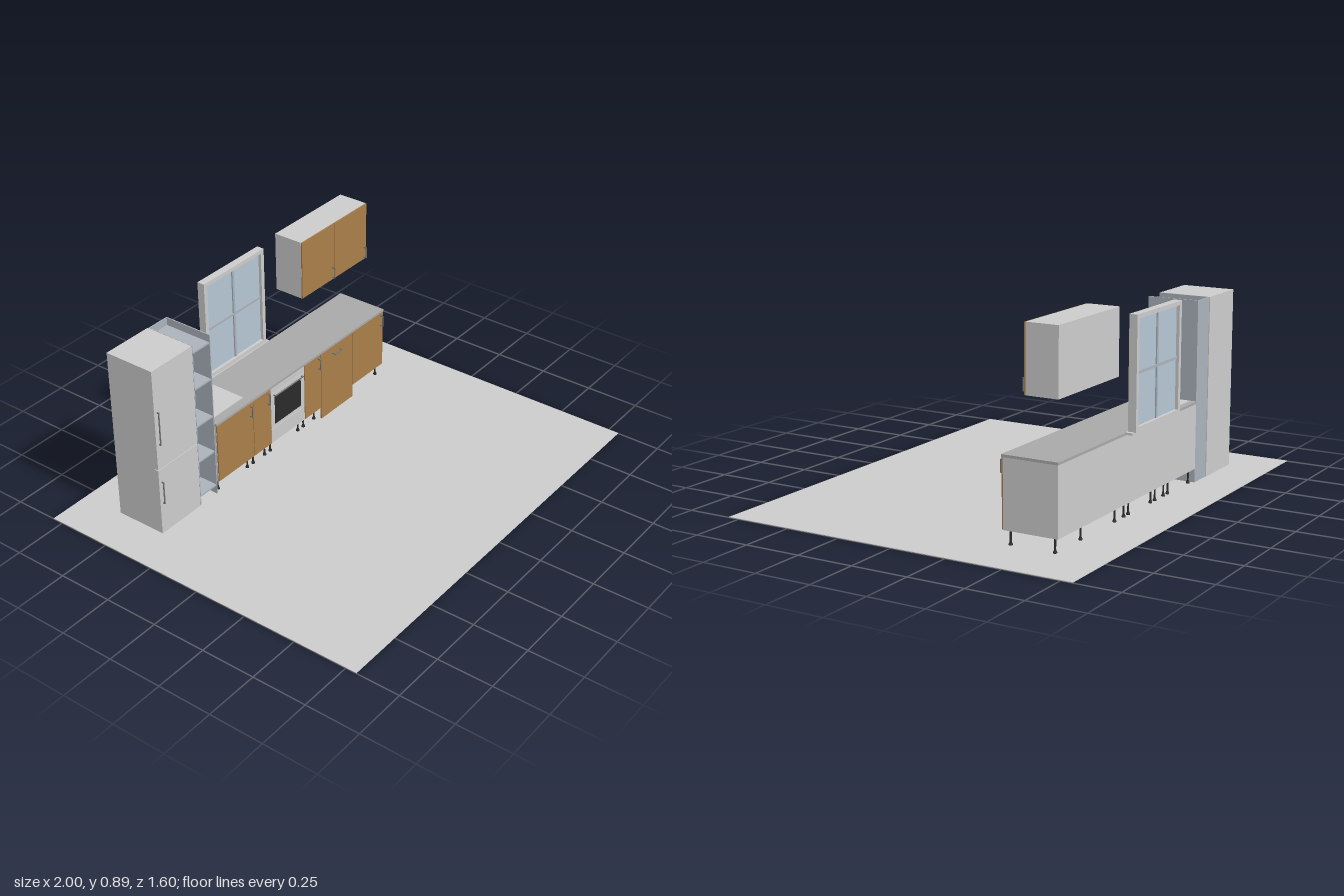
import * as THREE from 'three';

const mat = (color) => new THREE.MeshStandardMaterial({ color });
const grey = mat(0xcccccc), wood = mat(0xa87e4a), slate = mat(0xaab2ba), stone = mat(0xa8a8a8);
const metal = mat(0x777777), black = mat(0x2a2a2a), glass = mat(0xb4c6d2);

export function createModel() {
  const root = new THREE.Group();

  // Box given by its min and max on each axis
  const box = (name, x0, x1, y0, y1, z0, z1, material = grey, parent = root) => {
    const m = new THREE.Mesh(new THREE.BoxGeometry(x1 - x0, y1 - y0, z1 - z0), material);
    m.position.set((x0 + x1) / 2, (y0 + y1) / 2, (z0 + z1) / 2);
    m.name = name;
    parent.add(m);
    return m;
  };
  const group = (name) => {
    const g = new THREE.Group();
    g.name = name;
    root.add(g);
    return g;
  };
  // Bar handle with two stand-offs; z is the door face
  const handle = (x, y, length, z, horizontal = false, parent = root, reach = 0.016) => {
    const g = new THREE.Group();
    g.name = 'handle';
    const h = length / 2, r = 0.0025;
    box('handleBar', -r, r, -h, h, reach - 0.004, reach, metal, g);
    for (const s of [-1, 1]) {
      const c = s * (h - r);
      box('handlePost', -r, r, c - r, c + r, 0, reach - 0.004, metal, g);
    }
    if (horizontal) g.rotation.z = Math.PI / 2;
    g.position.set(x, y, z);
    parent.add(g);
  };

  box('floor', -1, 1, 0, 0.003, -0.8, 0.8);

  // Fridge with freezer below
  const fridge = group('fridge');
  box('fridgeBody', -0.8, -0.557, 0.003, 0.805, -0.6, -0.38, grey, fridge);
  box('freezerDoor', -0.8, -0.557, 0.003, 0.324, -0.38, -0.36, grey, fridge);
  box('fridgeDoor', -0.8, -0.557, 0.327, 0.805, -0.38, -0.36, grey, fridge);
  handle(-0.782, 0.525, 0.16, -0.36, false, fridge, 0.01);
  handle(-0.782, 0.205, 0.11, -0.36, false, fridge, 0.01);

  // Narrow open shelf unit
  const shelves = group('shelfUnit');
  box('shelfLeftPanel', -0.556, -0.552, 0.003, 0.805, -0.597, -0.36, slate, shelves);
  box('shelfRightPanel', -0.449, -0.444, 0.003, 0.805, -0.597, -0.36, slate, shelves);
  box('shelfBack', -0.552, -0.449, 0.003, 0.805, -0.597, -0.592, slate, shelves);
  for (const y of [0.047, 0.223, 0.403, 0.588, 0.766])
    box('shelf', -0.552, -0.449, y - 0.004, y + 0.004, -0.592, -0.363, slate, shelves);

  // Base cabinets: [left edge, right edge, kind]
  const units = [
    [-0.44, -0.2, 'door'], [-0.2, -0.08, 'door'], [-0.08, 0.16, 'oven'],
    [0.16, 0.28, 'door'], [0.28, 0.52, 'dishwasher'], [0.52, 0.757, 'door'],
  ];
  const legShape = [[0, 0], [0.008, 0], [0.008, 0.005], [0.004, 0.014], [0.004, 0.063]];
  const legGeometry = new THREE.LatheGeometry(legShape.map(([r, y]) => new THREE.Vector2(r, y)), 12);
  for (const [x0, x1, kind] of units) {
    const unit = group(kind === 'door' ? 'baseCabinet' : kind);
    box('cabinetBody', x0, x1, 0.065, 0.354, -0.6, -0.357, grey, unit);
    if (kind === 'dishwasher') {
      box('dishwasherFront', x0 + 0.002, x1 - 0.002, 0.004, 0.353, -0.357, -0.351, wood, unit);
      handle(0.395, 0.314, 0.055, -0.351, true, unit);
      continue;
    }
    if (kind === 'door') {
      box('cabinetDoor', x0 + 0.001, x1 - 0.002, 0.066, 0.353, -0.357, -0.351, wood, unit);
      handle(x1 - 0.02, 0.313, 0.055, -0.351, false, unit);
    } else {
      // Oven front: control strip, glazed door and drawer
      box('controlStrip', x0 + 0.002, x1 - 0.002, 0.322, 0.353, -0.357, -0.352, grey, unit);
      box('ovenDoor', x0 + 0.002, x1 - 0.002, 0.14, 0.319, -0.357, -0.352, grey, unit);
      box('ovenDrawer', x0 + 0.002, x1 - 0.002, 0.066, 0.137, -0.357, -0.352, grey, unit);
      box('ovenWindow', -0.053, 0.131, 0.157, 0.299, -0.353, -0.3505, black, unit);
      handle(0.04, 0.31, 0.2, -0.352, true, unit, 0.012);
    }
    for (const x of [x0 + 0.02, x1 - 0.02])
      for (const z of [-0.38, -0.577]) {
        const leg = new THREE.Mesh(legGeometry, black);
        leg.name = 'leg';
        leg.position.set(x, 0.003, z);
        unit.add(leg);
      }
  }
  box('worktop', -0.444, 0.757, 0.354, 0.365, -0.6, -0.349, stone);

  // Sink plate and tap
  const sink = group('sink');
  box('sinkPlate', -0.427, -0.22, 0.365, 0.369, -0.575, -0.39, grey, sink);
  const path = new THREE.CurvePath();
  const p = (y, z) => new THREE.Vector3(-0.32, y, z);
  path.add(new THREE.LineCurve3(p(0.365, -0.553), p(0.43, -0.553)));
  path.add(new THREE.QuadraticBezierCurve3(p(0.43, -0.553), p(0.444, -0.553), p(0.444, -0.539)));
  path.add(new THREE.LineCurve3(p(0.444, -0.539), p(0.444, -0.49)));
  const tap = new THREE.Mesh(new THREE.TubeGeometry(path, 40, 0.0045, 10), metal);
  tap.name = 'tap';
  sink.add(tap);
  const tip = new THREE.Mesh(new THREE.CylinderGeometry(0.0045, 0.0045, 0.01, 10), metal);
  tip.name = 'tapTip';
  tip.position.set(-0.32, 0.441, -0.491);
  sink.add(tip);
  const base = new THREE.Mesh(new THREE.CylinderGeometry(0.008, 0.008, 0.01, 16), metal);
  base.name = 'tapBase';
  base.position.set(-0.32, 0.37, -0.553);
  sink.add(base);

  // Window with four panes and a sill
  const win = group('window');
  const rect = (P, x0, x1, y0, y1) => new P([[x0, y0], [x1, y0], [x1, y1], [x0, y1]]
    .map(([x, y]) => new THREE.Vector2(x, y)));
  const frameShape = rect(THREE.Shape, -0.2, 0.2, 0.366, 0.845);
  frameShape.holes.push(rect(THREE.Path, -0.18, 0.18, 0.386, 0.827));
  const frame = new THREE.Mesh(
    new THREE.ExtrudeGeometry(frameShape, { depth: 0.036, bevelEnabled: false }), grey);
  frame.name = 'windowFrame';
  frame.position.z = -0.638;
  win.add(frame);
  box('glass', -0.18, 0.18, 0.386, 0.827, -0.624, -0.616, glass, win);
  box('uprightBar', -0.006, 0.006, 0.386, 0.827, -0.63, -0.61, slate, win);
  box('crossBar', -0.18, 0.18, 0.6, 0.612, -0.63, -0.61, slate, win);
  box('windowSill', -0.217, 0.217, 0.357, 0.367, -0.632, -0.598, grey, win);

  // Wall cabinets
  for (const [x0, x1] of [[0.28, 0.518], [0.518, 0.757]]) {
    const unit = group('wallCabinet');
    box('cabinetBody', x0, x1, 0.606, 0.886, -0.6, -0.457, grey, unit);
    box('cabinetDoor', x0 + 0.001, x1 - 0.002, 0.607, 0.885, -0.457, -0.451, wood, unit);
    handle(x1 - 0.018, 0.643, 0.055, -0.451, false, unit);
  }
  return root;
}
